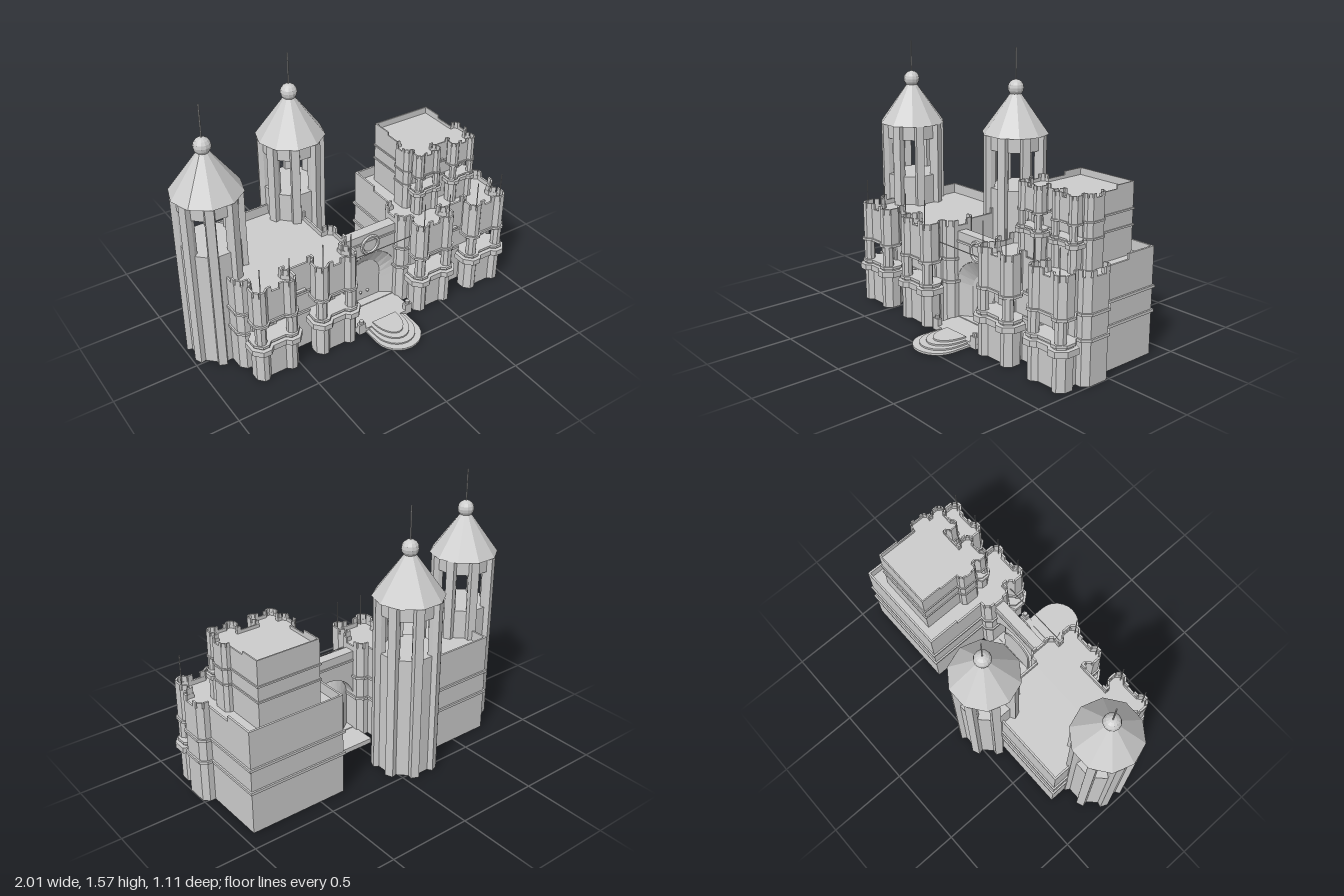
import * as THREE from 'three';

const mat = new THREE.MeshStandardMaterial({ color: 0xcccccc, flatShading: true, side: THREE.DoubleSide });

function add(parent, name, geo, x = 0, y = 0, z = 0) {
  const m = new THREE.Mesh(geo, mat);
  m.name = name;
  m.position.set(x, y, z);
  parent.add(m);
  return m;
}
const box = (p, name, w, h, d, x, y, z) => add(p, name, new THREE.BoxGeometry(w, h, d), x, y, z);

// Vertical prism from a plan outline of [x, z] points, optionally hollow
function prism(plan, y0, y1, hole) {
  const toV = ([x, z]) => new THREE.Vector2(x, -z);
  const shape = new THREE.Shape(plan.map(toV));
  if (hole) shape.holes.push(new THREE.Path(hole.map(toV)));
  const g = new THREE.ExtrudeGeometry(shape, { depth: y1 - y0, bevelEnabled: false });
  return g.rotateX(-Math.PI / 2).translate(0, y0, 0);
}

// Grow (d > 0) or shrink a plan outline with mitred corners
function offset(plan, d) {
  const n = plan.length;
  const area = plan.reduce((s, [x, z], i) => {
    const [u, v] = plan[(i + 1) % n];
    return s + x * v - u * z;
  }, 0);
  const k = Math.sign(area);
  const normal = (a, b) => {
    const l = Math.hypot(b[0] - a[0], b[1] - a[1]);
    return [k * (b[1] - a[1]) / l, -k * (b[0] - a[0]) / l];
  };
  return plan.map((p, i) => {
    const a = normal(plan[(i + n - 1) % n], p), b = normal(p, plan[(i + 1) % n]);
    const s = d / Math.max(0.4, 1 + a[0] * b[0] + a[1] * b[1]);
    return [p[0] + (a[0] + b[0]) * s, p[1] + (a[1] + b[1]) * s];
  });
}
const mirror = half => [...half, ...half.map(([x, z]) => [-x, z]).reverse()];

// Plan of a projecting bay with two corner lobes, and of the whole block
const BAY = 0.195;
const bayHalf = [[0.05, 0.3], [0.075, 0.325], [0.105, 0.325], [0.135, 0.29], [0.135, 0.235], [0.1, 0.2]];
const bayPlan = mirror(bayHalf).map(([x, z]) => [x, z]);
const wing = [[0.295, 0.18], [0.33, 0.18], [0.36, 0.145], [0.36, 0.02], [0.33, -0.01], [0.297, -0.01], [0.297, -0.39]];
const bayRight = [...bayHalf.map(([x, z]) => [BAY - x, z]).reverse(), ...bayHalf.map(([x, z]) => [BAY + x, z])];
const blockPlan = mirror([[0.095, 0.19], ...bayRight, ...wing]);
const loggiaPlan = mirror([[0.1, 0.19], [0.29, 0.19], ...wing]);

function archShape(w, spring, top, y0 = 0) {
  const s = new THREE.Shape();
  s.moveTo(w, y0);
  s.lineTo(w, spring);
  s.absellipse(0, spring, w, top - spring, 0, Math.PI, false);
  s.lineTo(-w, y0);
  return s;
}
const extrude = (shape, depth) => new THREE.ExtrudeGeometry(shape, { depth, bevelEnabled: false, curveSegments: 10 });

function makeBlock(name, flags) {
  const g = new THREE.Group();
  g.name = name;
  add(g, 'lowerStorey', prism(blockPlan, 0, 0.25));
  add(g, 'galleryStorey', prism(loggiaPlan, 0.25, 0.39));
  add(g, 'upperStorey', prism(blockPlan, 0.39, 0.56));
  const band = offset(blockPlan, 0.01);
  add(g, 'lowerCourse', prism(band, 0.246, 0.262));
  add(g, 'upperCourse', prism(band, 0.385, 0.4));
  add(g, 'parapet', prism(blockPlan, 0.56, 0.588, offset(blockPlan, -0.012)));
  // taller parapet around the back
  box(g, 'backParapet', 0.594, 0.06, 0.012, 0, 0.59, -0.384);
  for (const s of [-1, 1]) box(g, 'sideParapet', 0.012, 0.06, 0.2, s * 0.291, 0.59, -0.29);
  // battlements on the front and wings
  const line = offset(blockPlan, -0.005);
  line.forEach((a, i) => {
    const b = line[(i + 1) % line.length];
    if (a[1] < -0.02 || b[1] < -0.02) return;
    const dx = b[0] - a[0], dz = b[1] - a[1], L = Math.hypot(dx, dz);
    const spots = L < 0.05 ? [0.5] : [0.014 / L, 1 - 0.014 / L];
    for (const t of spots) {
      const m = box(g, 'merlon', 0.028, 0.036, 0.012, a[0] + dx * t, 0.604, a[1] + dz * t);
      m.rotation.y = -Math.atan2(dz, dx);
    }
  });
  box(g, 'centreLedge', 0.1, 0.012, 0.02, 0, 0.415, 0.198);
  for (const s of [-1, 1]) {
    const bay = new THREE.Group();
    bay.name = 'bay';
    bay.position.x = s * BAY;
    g.add(bay);
    // balcony band and rail
    const rim = bayPlan.map(([x, z]) => [x, Math.max(z, z < 0.21 ? 0.22 : z)]);
    add(bay, 'balcony', prism(offset(rim, 0.024), 0.2, 0.235));
    for (const c of [-1, 1]) {
      add(bay, 'galleryColumn', new THREE.CylinderGeometry(0.033, 0.033, 0.14, 8).rotateY(Math.PI / 8), c * 0.098, 0.32, 0.292);
      if (flags) add(bay, 'flagpole', new THREE.CylinderGeometry(0.003, 0.003, 0.2, 6), c * 0.09, 0.66, 0.3);
    }
    // arched window with a raised frame
    const frame = archShape(0.05, 0.315, 0.365, 0.26);
    frame.holes.push(archShape(0.033, 0.315, 0.348, 0.265));
    add(bay, 'windowFrame', extrude(frame, 0.014), 0, 0, 0.188);
    add(bay, 'windowPane', extrude(archShape(0.033, 0.315, 0.348, 0.265), 0.005), 0, 0, 0.188);
  }
  return g;
}

function makeTower(name, x, z) {
  const g = new THREE.Group();
  g.name = name;
  g.position.set(x, 0, z);
  const plan = [];
  const at = (r, deg) => [r * Math.cos(deg * Math.PI / 180), r * Math.sin(deg * Math.PI / 180)];
  for (let i = 0; i < 8; i++) {
    const a = 22.5 + i * 45;
    plan.push(at(0.165, a - 10), at(0.195, a - 7), at(0.195, a + 7), at(0.165, a + 10));
    // open belfry piers
    add(g, 'belfryPier', prism([at(0.135, a - 9), at(0.165, a - 10), at(0.195, a - 7), at(0.195, a + 7), at(0.165, a + 10), at(0.135, a + 9)], 0.74, 0.97));
  }
  add(g, 'shaft', prism(plan, 0, 0.74));
  add(g, 'lintel', prism(plan, 0.97, 1.06, plan.map(([u, v]) => [u * 0.78, v * 0.78])));
  add(g, 'roof', new THREE.CylinderGeometry(0.03, 0.203, 0.24, 10).rotateY(Math.PI / 2), 0, 1.18, 0);
  add(g, 'ball', new THREE.SphereGeometry(0.049, 12, 8), 0, 1.33, 0);
  add(g, 'spire', new THREE.CylinderGeometry(0.004, 0.004, 0.2, 6), 0, 1.465, 0);
  return g;
}

// Splayed surface between a large front arch and a small back arch
function splay(outer, inner, zo, zi) {
  const row = s => s.getSpacedPoints(18);
  const a = row(outer), b = row(inner), pos = [], idx = [];
  a.forEach((p, i) => {
    pos.push(p.x, p.y, zo, b[i].x, b[i].y, zi);
    if (i) idx.push(2 * i - 2, 2 * i - 1, 2 * i, 2 * i, 2 * i - 1, 2 * i + 1);
  });
  const g = new THREE.BufferGeometry();
  g.setAttribute('position', new THREE.Float32BufferAttribute(pos, 3));
  g.setIndex(idx);
  g.computeVertexNormals();
  return g;
}

function makeGate() {
  const g = new THREE.Group();
  g.name = 'gate';
  g.position.x = 0.1;
  box(g, 'terrace', 0.38, 0.03, 0.41, 0, 0.015, 0.095);
  // wall pierced by the portal
  const wall = new THREE.Shape([[-0.215, 0.03], [0.215, 0.03], [0.215, 0.53], [0.19, 0.53], [0.19, 0.557], [-0.19, 0.557], [-0.19, 0.53], [-0.215, 0.53]].map(p => new THREE.Vector2(...p)));
  const outer = archShape(0.187, 0.23, 0.41, 0.035), inner = archShape(0.11, 0.21, 0.318, 0.035);
  wall.holes.push(outer);
  add(g, 'gateWall', extrude(wall, 0.065), 0, 0, 0.055);
  add(g, 'portalSplay', splay(outer, inner, 0.12, 0.065));
  add(g, 'door', extrude(inner, 0.01), 0, 0, 0.057);
  box(g, 'wallCornice', 0.4, 0.012, 0.08, 0, 0.5, 0.088);
  for (const s of [-1, 1]) {
    add(g, 'doorKnob', new THREE.SphereGeometry(0.01, 8, 6), s * 0.025, 0.09, 0.07);
    box(g, 'terraceKerb', 0.045, 0.07, 0.03, s * 0.167, 0.035, 0.285);
    add(g, 'kerbPost', new THREE.CylinderGeometry(0.014, 0.014, 0.02, 8), s * 0.167, 0.08, 0.285);
  }
  // round window
  add(g, 'roundWindowFrame', new THREE.TorusGeometry(0.056, 0.011, 6, 20), 0, 0.477, 0.125);
  add(g, 'roundWindowPane', new THREE.CylinderGeometry(0.052, 0.052, 0.01, 20).rotateX(Math.PI / 2), 0, 0.477, 0.12);
  add(g, 'tieBar', new THREE.CylinderGeometry(0.003, 0.003, 0.48, 6).rotateZ(Math.PI / 2), 0, 0.5, 0.215);
  // rounded steps
  for (let i = 0; i < 4; i++) {
    const w = 0.143 - i * 0.02, zf = 0.555 - i * 0.04, plan = [[w, 0.28]];
    for (let k = 0; k <= 12; k++) {
      const t = Math.PI * k / 12;
      plan.push([w * Math.cos(t), zf - 0.14 + 0.14 * Math.sin(t)]);
    }
    plan.push([-w, 0.28]);
    add(g, 'step', prism(plan, 0, 0.012 + i * 0.009));
  }
  return g;
}

export function createModel() {
  const model = new THREE.Group();
  model.name = 'castle';
  const right = makeBlock('rightBlock', true);
  right.position.x = -0.44;
  const left = makeBlock('leftBlock', true);
  left.position.x = 0.64;
  // smaller keep standing on the left block
  const keep = makeBlock('keep', false);
  keep.scale.setScalar(0.65);
  keep.position.set(0.64, 0.56, -0.076);
  model.add(right, left, keep, makeGate());
  model.add(makeTower('sideTower', -0.797, -0.1), makeTower('backTower', -0.127, -0.365));
  return model;
}
